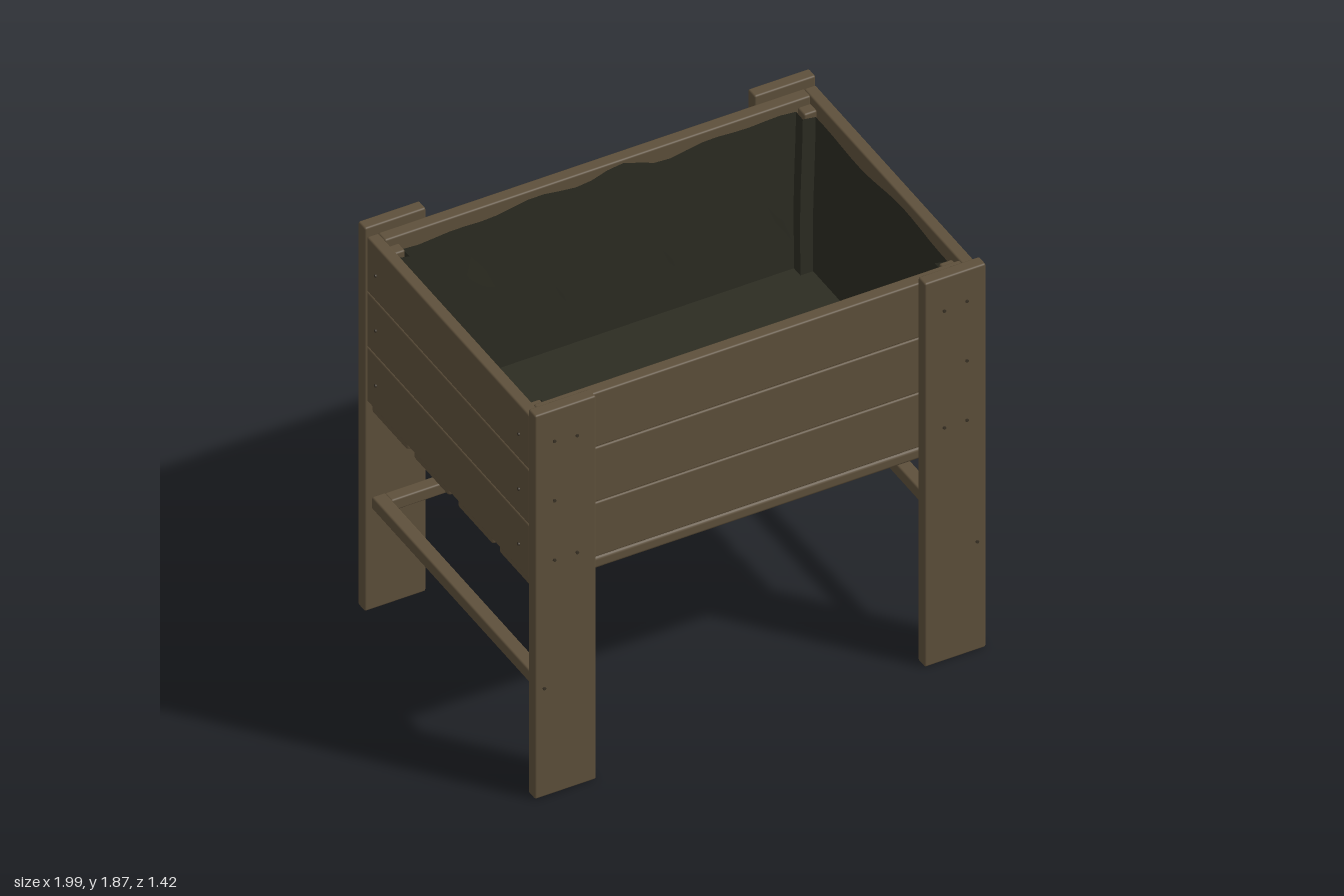
import * as THREE from 'three';
import { toCreasedNormals } from 'three/addons/utils/BufferGeometryUtils.js';
import { RoundedBoxGeometry } from 'three/addons/geometries/RoundedBoxGeometry.js';

const material = (name, color, side = THREE.FrontSide) => {
  const m = new THREE.MeshStandardMaterial({ color, side });
  m.name = name;
  return m;
};

export function createModel() {
  const group = new THREE.Group();
  const wood = material('brown wood', 0x5e503b);
  const metal = material('dark screw', 0x3a3226);
  const fabric = material('dark liner fabric', 0x2c2c22, THREE.DoubleSide);

  // Board given by its lower and upper limits on each axis
  const board = (name, [x0, x1], [y0, y1], [z0, z1], radius = 0.008) => {
    const mesh = new THREE.Mesh(new RoundedBoxGeometry(x1 - x0, y1 - y0, z1 - z0, 2, radius), wood);
    mesh.position.set((x0 + x1) / 2, (y0 + y1) / 2, (z0 + z1) / 2);
    mesh.name = name;
    group.add(mesh);
  };
  const span = (s, a, b) => (s > 0 ? [a, b] : [-b, -a]);

  // Small screw heads pointing along x, y or z
  const screwGeometry = new THREE.CylinderGeometry(0.007, 0.007, 0.012, 8);
  const screw = (x, y, z, axis) => {
    const mesh = new THREE.Mesh(screwGeometry, metal);
    mesh.position.set(x, y, z);
    if (axis === 'x') mesh.rotation.z = Math.PI / 2;
    if (axis === 'z') mesh.rotation.x = Math.PI / 2;
    mesh.name = 'screw';
    group.add(mesh);
  };

  // Wall planks, three high
  for (let i = 0; i < 3; i++) {
    const y = [1.032 + i * 0.268, 1.297 + i * 0.268];
    for (const s of [-1, 1]) {
      board('longWallPlank', [-0.94, 0.94], y, span(s, 0.59, 0.647));
      board('endWallPlank', span(s, 0.938, 0.99), y, [-0.645, 0.645]);
      for (const z of [-0.57, 0.57]) screw(s * 0.99, y[0] + 0.125, z, 'x');
    }
  }

  // Floor slats
  for (const [z0, z1] of [[0.37, 0.645], [0.04, 0.32], [-0.31, -0.03], [-0.645, -0.36]]) {
    board('floorSlat', [-0.97, 0.97], [0.972, 1.027], [z0, z1], 0.014);
    for (const x of [-0.9, 0.9])
      for (const z of [z0 + 0.07, z1 - 0.07]) screw(x, 0.972, z, 'y');
  }

  // Legs, inner corner posts and low side rails
  for (const sx of [-1, 1]) {
    for (const sz of [-1, 1]) {
      board('leg', span(sx, 0.725, 0.995), [0, 1.87], span(sz, 0.65, 0.705));
      board('cornerPost', span(sx, 0.88, 0.938), [1.03, 1.8], span(sz, 0.535, 0.59));
      for (const [x, y] of [[0.91, 1.72], [0.81, 1.71], [0.91, 1.43], [0.81, 1.14], [0.91, 1.14], [0.955, 0.53]])
        screw(sx * x, y, sz * 0.705, 'z');
    }
    board('sideRail', span(sx, 0.905, 0.965), [0.492, 0.55], [-0.652, 0.652]);
  }
  board('backRail', [-0.91, 0.91], [0.495, 0.55], [-0.65, -0.592]);

  group.add(createLiner(fabric));
  return group;
}

// Fabric tub notched around the corner posts, with a wavy upper edge
function createLiner(fabric) {
  const corners = [];
  const notch = [[0.925, 0.525], [0.868, 0.525], [0.868, 0.578]];
  for (const [sx, sz] of [[1, 1], [-1, 1], [-1, -1], [1, -1]]) {
    const points = notch.map(([x, z]) => [sx * x, sz * z]);
    corners.push(...(sx * sz > 0 ? points : points.reverse()));
  }

  // Outline divided finely along the long edges
  const outline = [];
  corners.forEach(([x, z], i) => {
    const [nx, nz] = corners[(i + 1) % corners.length];
    const steps = Math.max(1, Math.round(Math.hypot(nx - x, nz - z) / 0.07));
    for (let k = 0; k < steps; k++) {
      const t = k / steps;
      outline.push([x + (nx - x) * t, z + (nz - z) * t]);
    }
  });

  const n = outline.length, rows = 6;
  const positions = [], indices = [];
  for (let r = 0; r <= rows; r++) {
    const t = r / rows;
    for (const [x, z] of outline) {
      const peak = z < -0.57 ? 0.045 * Math.exp(-(((x - 0.1) / 0.12) ** 2)) : 0;
      const top = 1.785 + 0.014 * Math.sin(7 * x + 5 * z) + 0.008 * Math.sin(17 * x - 11 * z) + peak;
      const fold = 1 - 0.018 * (1 - t) - 0.005 * (1 + Math.sin(13 * x + 9 * z + 4 * t)) * Math.sin(Math.PI * t);
      positions.push(x * fold, 1.04 + (top - 1.04) * t, z * fold);
    }
  }
  const centre = positions.length / 3;
  positions.push(0, 1.04, 0);
  for (let i = 0; i < n; i++) {
    const j = (i + 1) % n;
    indices.push(centre, j, i);
    for (let r = 0; r < rows; r++) {
      const a = r * n + i, b = r * n + j;
      indices.push(a, b, a + n, b, b + n, a + n);
    }
  }
  const geometry = new THREE.BufferGeometry();
  geometry.setAttribute('position', new THREE.Float32BufferAttribute(positions, 3));
  geometry.setIndex(indices);
  const mesh = new THREE.Mesh(toCreasedNormals(geometry, 0.7), fabric);
  mesh.name = 'liner';
  return mesh;
}
